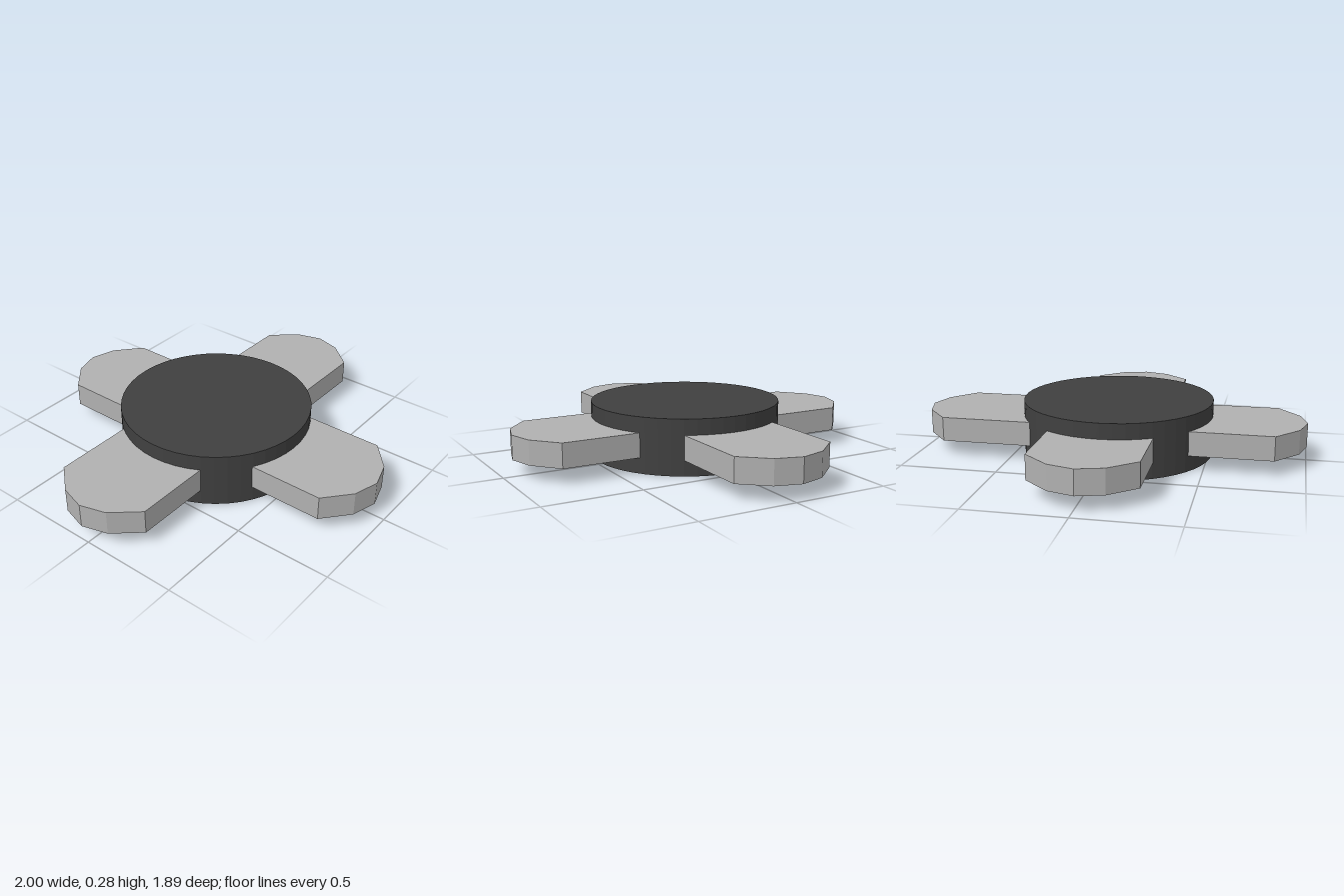
import * as THREE from 'three';

const darkGrey = new THREE.MeshStandardMaterial({ color: 0x404040, flatShading: true });
darkGrey.name = 'darkGrey';
const lightGrey = new THREE.MeshStandardMaterial({ color: 0xb0b0b0, flatShading: true });
lightGrey.name = 'lightGrey';

// Flat arm pointing along +x with a faceted round end
function armGeometry(tip) {
  const half = 0.265, root = 0.3;
  const shape = new THREE.Shape([
    [root, -half], [tip - 0.153, -half], [tip - 0.038, -half / 2], [tip, 0],
    [tip - 0.038, half / 2], [tip - 0.153, half], [root, half],
  ].map(([x, y]) => new THREE.Vector2(x, y)));
  const geometry = new THREE.ExtrudeGeometry(shape, { depth: 0.125, bevelEnabled: false });
  return geometry.rotateX(-Math.PI / 2);
}

export function createModel() {
  const model = new THREE.Group();
  model.name = 'fourArmedDisc';

  // Central disc
  const hub = new THREE.Mesh(new THREE.CylinderGeometry(0.495, 0.495, 0.285, 48), darkGrey);
  hub.name = 'hub';
  hub.position.set(-0.024, 0.1425, -0.016);
  model.add(hub);

  // Four arms, a quarter turn apart
  const arms = [
    { name: 'leftArm', tip: 1, x: 0, z: -0.035 },
    { name: 'backArm', tip: 0.947, x: -0.011, z: 0 },
    { name: 'rightArm', tip: 1, x: 0, z: -0.035 },
    { name: 'frontArm', tip: 0.947, x: -0.011, z: 0 },
  ];
  arms.forEach(({ name, tip, x, z }, i) => {
    const arm = new THREE.Mesh(armGeometry(tip), lightGrey);
    arm.name = name;
    arm.position.set(x, 0.08, z);
    arm.rotation.y = i * Math.PI / 2;
    model.add(arm);
  });
  return model;
}
